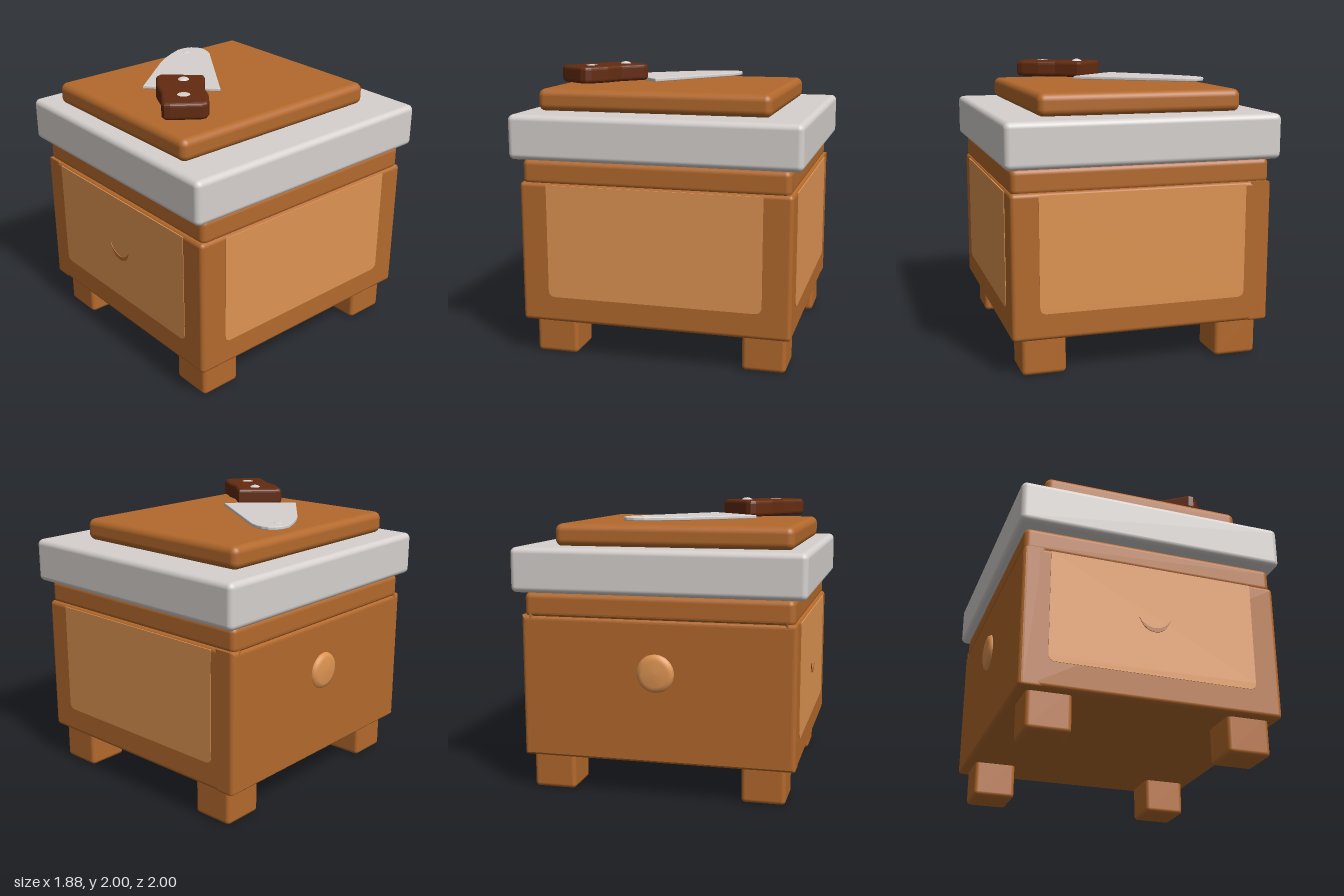
import * as THREE from 'three';
import { RoundedBoxGeometry } from 'three/addons/geometries/RoundedBoxGeometry.js';

const material = (name, color) => {
  const m = new THREE.MeshStandardMaterial({ color });
  m.name = name;
  return m;
};

export function createModel() {
  const wood = material('wood', 0xb3692c);
  const lightWood = material('light wood', 0xde9452);
  const stone = material('pale grey', 0xd6d1ce);
  const darkWood = material('dark handle wood', 0x632b10);
  const model = new THREE.Group();
  model.name = 'kitchenCabinet';

  const add = (name, geometry, mat) => {
    const mesh = new THREE.Mesh(geometry, mat);
    mesh.name = name;
    model.add(mesh);
    return mesh;
  };
  // Rounded box given by its limits on each axis
  const box = (name, [x0, x1], [y0, y1], [z0, z1], radius, mat) => {
    const g = new RoundedBoxGeometry(x1 - x0, y1 - y0, z1 - z0, 4, radius);
    g.translate((x0 + x1) / 2, (y0 + y1) / 2, (z0 + z1) / 2);
    return add(name, g, mat);
  };
  // Rectangle outline with optional rounded bottom corners
  const rect = (path, w, y0, y1, r = 0) => {
    path.moveTo(-w, y1).lineTo(-w, y0 + r);
    path.quadraticCurveTo(-w, y0, -w + r, y0).lineTo(w - r, y0);
    path.quadraticCurveTo(w, y0, w, y0 + r).lineTo(w, y1);
    path.closePath();
    return path;
  };

  // Legs
  for (const [x0, x1] of [[-0.83, -0.53], [0.53, 0.83]])
    for (const [z0, z1] of [[-0.9, -0.6], [0.57, 0.87]])
      box('leg', [x0, x1], [0, 0.3], [z0, z1], 0.03, wood);

  // Cabinet body, lip, worktop and cutting board
  box('body', [-0.82, 0.9], [0.25, 1.23], [-0.94, 0.94], 0.03, wood);
  box('lip', [-0.89, 0.89], [1.21, 1.385], [-0.92, 0.92], 0.04, wood);
  box('worktop', [-0.94, 0.94], [1.385, 1.69], [-1, 1], 0.04, stone);
  box('cuttingBoard', [-0.75, 0.67], [1.685, 1.84], [-0.75, 0.89], 0.05, wood);

  // Frame around the drawer recess on the right side
  const frameShape = rect(new THREE.Shape(), 0.94, 0.25, 1.23, 0.02);
  frameShape.holes.push(rect(new THREE.Path(), 0.85, 0.41, 1.23 - 0.01));
  const frame = new THREE.ExtrudeGeometry(frameShape, {
    depth: 0.1, bevelThickness: 0.03, bevelSize: 0.03, bevelOffset: -0.03, bevelSegments: 4,
  });
  frame.rotateY(-Math.PI / 2).translate(-0.87 + 0.1, 0, 0);
  add('drawerFrame', frame, wood);

  // Drawer front and round knob
  box('drawer', [-0.845, -0.78], [0.45, 1.19], [-0.79, 0.79], 0.015, lightWood);
  const knobProfile = [[0, 0], [0.12, 0], [0.132, 0.02], [0.132, 0.055], [0.12, 0.077], [0.09, 0.088], [0, 0.092]];
  const knob = new THREE.LatheGeometry(knobProfile.map(([x, y]) => new THREE.Vector2(x, y)), 32);
  knob.rotateZ(Math.PI / 2).translate(-0.84, 0.87, 0);
  add('drawerKnob', knob, lightWood);

  // Pale panels on the front, left side and back
  for (const [name, w, dist, turn] of [
    ['frontPanel', 0.715, 0.94, 0], ['leftPanel', 0.745, 0.9, 1], ['backPanel', 0.715, 0.94, 2],
  ]) {
    const g = new THREE.ExtrudeGeometry(rect(new THREE.Shape(), w, 0.43, 1.215, 0.05), { depth: 0.008, bevelEnabled: false });
    g.translate(0, 0, dist - 0.004).rotateY(turn * Math.PI / 2);
    add(name, g, lightWood);
  }

  // Crescent mark on the front panel
  const crescent = new THREE.Shape();
  crescent.moveTo(-0.107, 0.83);
  crescent.quadraticCurveTo(-0.07, 0.74, 0, 0.74).quadraticCurveTo(0.08, 0.74, 0.113, 0.838);
  crescent.quadraticCurveTo(0.065, 0.768, 0, 0.768).quadraticCurveTo(-0.06, 0.768, -0.107, 0.83);
  const mark = new THREE.ExtrudeGeometry(crescent, { depth: 0.006, bevelEnabled: false });
  add('frontCrescent', mark.translate(0, 0, 0.943), wood);

  // Flat outline in x and z, extruded upwards between two heights
  const slab = (name, points, y0, y1, bevel, mat) => {
    const shape = new THREE.Shape(points.map(([x, z]) => new THREE.Vector2(x, -z)));
    const g = new THREE.ExtrudeGeometry(shape, {
      depth: y1 - y0 - 2 * bevel, bevelThickness: bevel, bevelSize: bevel, bevelOffset: -bevel, bevelSegments: 4,
    });
    g.rotateX(-Math.PI / 2).translate(0, y0 + bevel, 0);
    return add(name, g, mat);
  };

  // Knife
  slab('knifeBlade', [
    [0.19, 0.18], [-0.41, -0.23], [-0.46, -0.265], [-0.52, -0.29], [-0.58, -0.3], [-0.63, -0.288],
    [-0.67, -0.255], [-0.69, -0.2], [-0.685, -0.13], [-0.64, -0.03], [-0.59, 0.06], [-0.53, 0.15], [-0.2, 0.55],
  ], 1.862, 1.886, 0.006, stone);
  slab('knifeHandle', [
    [0.11, 0.26], [0.14, 0.275], [0.28, 0.4], [0.4, 0.46], [0.51, 0.545], [0.535, 0.58], [0.53, 0.62],
    [0.41, 0.785], [0.38, 0.81], [0.345, 0.805], [0.19, 0.69], [0.05, 0.625], [-0.08, 0.525], [-0.095, 0.49], [-0.08, 0.455],
  ], 1.868, 1.985, 0.025, darkWood);

  // Rivets on the handle and a small bump near the blade tip
  for (const [name, x, y, z, r, h] of [
    ['handleRivet', 0.1, 1.975, 0.43, 0.042, 0.025],
    ['handleRivet', 0.33, 1.978, 0.61, 0.053, 0.012],
    ['bladeBump', -0.595, 1.882, -0.145, 0.032, 0.01],
  ]) {
    const g = new THREE.SphereGeometry(1, 24, 12);
    g.scale(r, h, r).translate(x, y, z);
    add(name, g, stone);
  }
  return model;
}
